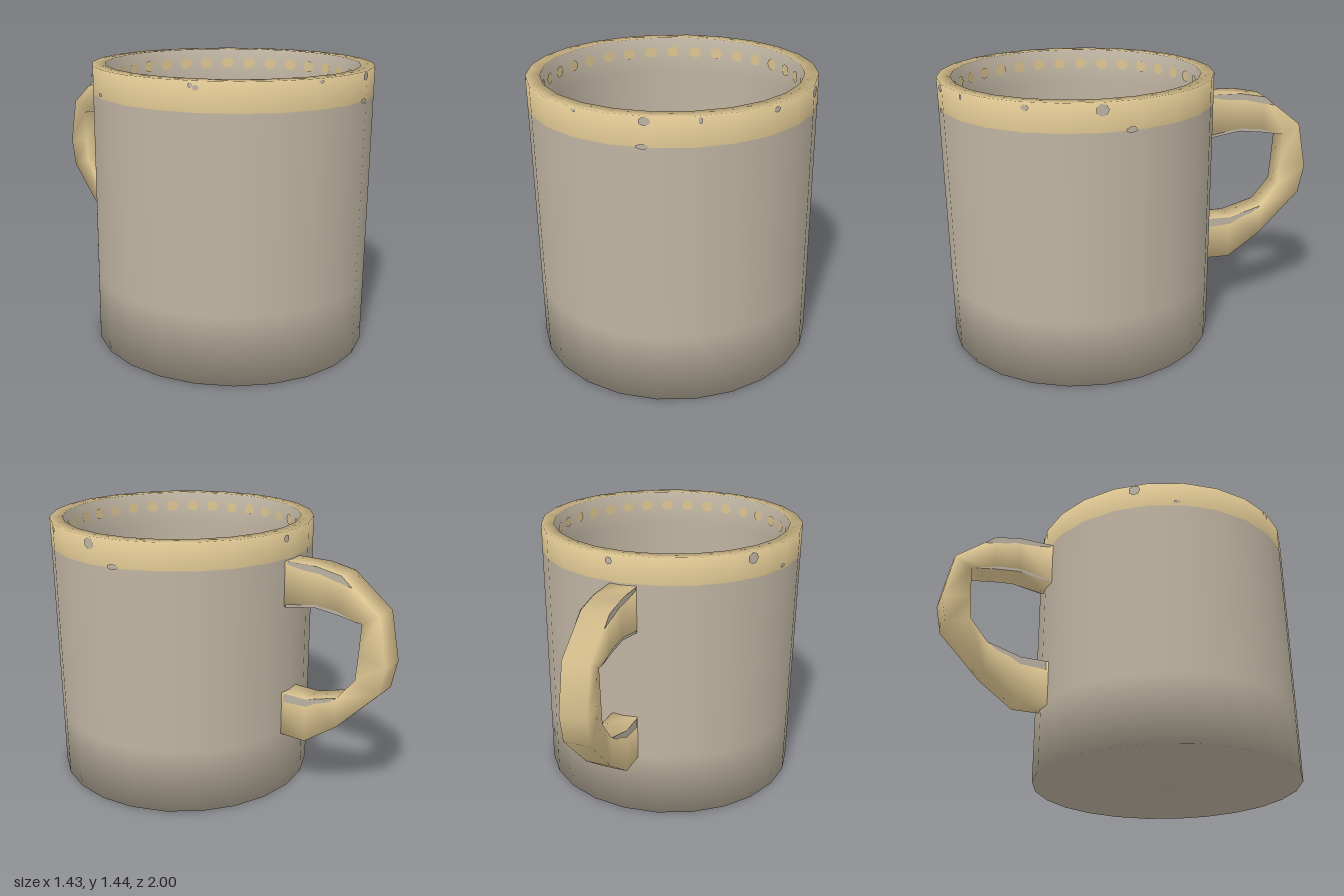
import * as THREE from 'three';

const RADIUS = 0.713, INNER = 0.645, HEIGHT = 1.44, CENTRE_Z = 0.287;
const deg = THREE.MathUtils.degToRad;

function material(name, color, side = THREE.FrontSide) {
  const m = new THREE.MeshStandardMaterial({ color, side });
  m.name = name;
  return m;
}

// Closed cup profile turned into a smooth 24-sided shell, coloured row by row
function cupGeometry() {
  const profile = [
    [0, 0], [RADIUS, 0], [RADIUS, 0.35], [RADIUS, 1.3], [RADIUS, HEIGHT],
    [INNER, HEIGHT], [INNER, 1.25], [INNER, 0.35], [INNER, 0.08], [0, 0.08],
  ].map(([x, y]) => new THREE.Vector2(x, y));
  const sides = 24, rows = profile.length - 1;
  const geo = new THREE.LatheGeometry(profile, sides);
  for (let i = 0; i < sides; i++) {
    const start = i * rows * 6;
    geo.addGroup(start, 18, 0);           // base and outer wall
    geo.addGroup(start + 18, 12, 1);      // painted band and lip
    geo.addGroup(start + 30, 24, 0);      // inside wall and floor
  }
  return geo;
}

// Rectangular cross-sections swept along the handle: [outer z, outer y, inner z, inner y]
function handleGeometry() {
  const sections = [
    [-0.41, 1.29, -0.41, 1.05], [-0.6, 1.29, -0.6, 1.08], [-0.74, 1.265, -0.74, 1.065],
    [-0.95, 1.1, -0.86, 1.045], [-1, 0.85, -0.85, 0.88], [-0.97, 0.7, -0.84, 0.75],
    [-0.75, 0.47, -0.745, 0.63], [-0.565, 0.335, -0.565, 0.575], [-0.41, 0.335, -0.41, 0.575],
  ];
  const left = 0.06, right = -0.08, pos = [], index = [];
  for (const [oz, oy, iz, iy] of sections) {
    pos.push(left, oy, oz, right, oy, oz, right, iy, iz, left, iy, iz);
  }
  for (let s = 0; s < sections.length - 1; s++) {
    for (let k = 0; k < 4; k++) {
      const a = s * 4 + k, b = s * 4 + (k + 1) % 4;
      index.push(a, a + 4, b, b, a + 4, b + 4);
    }
  }
  const geo = new THREE.BufferGeometry();
  geo.setAttribute('position', new THREE.Float32BufferAttribute(pos, 3));
  geo.setIndex(index);
  geo.computeVertexNormals();
  return geo;
}

export function createModel() {
  const model = new THREE.Group();
  model.name = 'mug';
  const clay = material('clay grey', 0xbfb4a2);
  const glaze = material('sand glaze', 0xdec692);
  const wornClay = material('worn clay', 0xbdb2a4, THREE.DoubleSide);

  const add = (name, geo, mat, parent = model) => {
    const mesh = new THREE.Mesh(geo, mat);
    mesh.name = name;
    parent.add(mesh);
    return mesh;
  };

  const cup = new THREE.Group();
  cup.name = 'cup';
  cup.position.z = CENTRE_Z;
  model.add(cup);
  add('cupShell', cupGeometry(), [clay, glaze], cup);

  // Row of glaze dots just under the lip on the inside
  const dot = new THREE.CircleGeometry(0.034, 10);
  for (let i = 0; i < 32; i++) {
    const a = (i / 32) * Math.PI * 2, r = 0.636;
    const mesh = add('innerDot', dot, glaze, cup);
    mesh.position.set(Math.sin(a) * r, 1.36, Math.cos(a) * r);
    mesh.rotation.y = a + Math.PI;
    mesh.scale.y = 0.9;
  }

  // Worn chips in the outer band: [angle, height, width, height of chip]
  const chips = [
    [13, 1.418, 0.028, 0.02], [-14, 1.425, 0.014, 0.008], [32, 1.42, 0.01, 0.015],
    [-62, 1.42, 0.012, 0.012], [62, 1.415, 0.02, 0.014], [90, 1.405, 0.032, 0.03],
    [12, 1.305, 0.03, 0.012], [101, 1.305, 0.03, 0.015], [175, 1.405, 0.02, 0.02],
    [234, 1.405, 0.032, 0.03], [252, 1.32, 0.02, 0.01], [300, 1.41, 0.015, 0.012],
  ];
  const chip = new THREE.CircleGeometry(1, 7);
  for (const [angle, y, w, h] of chips) {
    const a = deg(angle), r = 0.715;
    const mesh = add('bandChip', chip, wornClay, cup);
    mesh.position.set(Math.sin(a) * r, y, Math.cos(a) * r);
    mesh.rotation.y = a;
    mesh.scale.set(w, h, 1);
  }

  add('handle', handleGeometry(), glaze);

  // Worn streaks on both flanks of the handle: outlines as [distance back, y]
  const streaks = [
    [[0.43, 1.29], [0.6, 1.29], [0.74, 1.265], [0.8, 1.215], [0.7, 1.235], [0.62, 1.255], [0.52, 1.26], [0.43, 1.275]],
    [[0.43, 1.05], [0.6, 1.08], [0.74, 1.065], [0.85, 1.045], [0.72, 1.085], [0.6, 1.095], [0.43, 1.065]],
    [[0.43, 0.575], [0.565, 0.575], [0.745, 0.63], [0.7, 0.595], [0.62, 0.565], [0.57, 0.535], [0.43, 0.525]],
  ];
  for (const outline of streaks) {
    const shape = new THREE.Shape(outline.map(([d, y]) => new THREE.Vector2(d, y)));
    const geo = new THREE.ShapeGeometry(shape).rotateY(Math.PI / 2);
    for (const x of [0.063, -0.083]) add('handleStreak', geo, wornClay).position.x = x;
  }
  return model;
}
